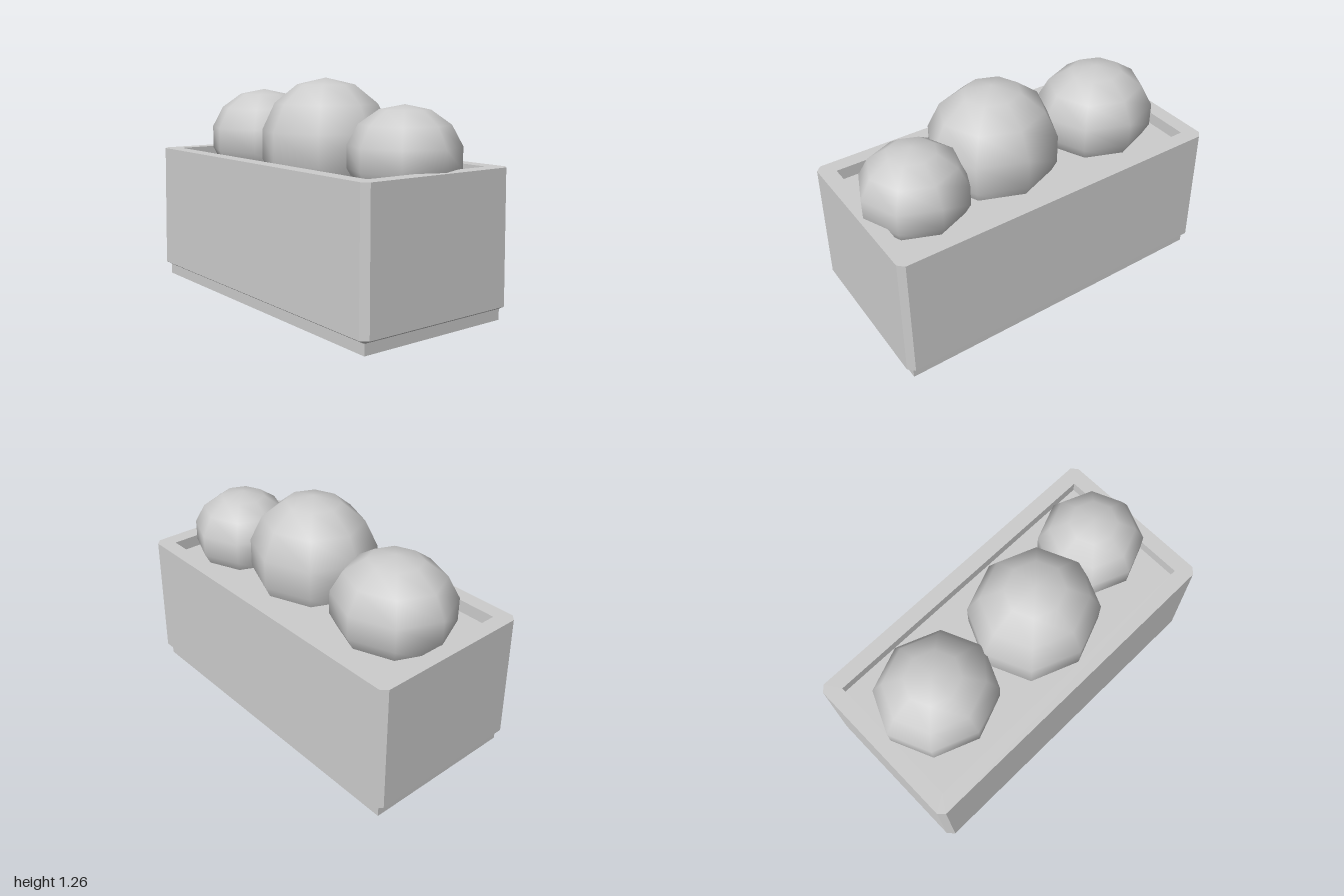
import * as THREE from 'three';

const grey = new THREE.MeshStandardMaterial({ color: 0xcccccc });
grey.name = 'lightGrey';

// Rectangle with cut corners at height y, counter-clockwise from above
function ring([y, x, z, c]) {
  return [
    [x, -(-z + c)], [x, -(z - c)], [x - c, -z], [-x + c, -z],
    [-x, -z + c], [-x, z - c], [-x + c, z], [x - c, z],
  ].map(([px, pz]) => new THREE.Vector3(px, y, pz));
}

// Flat-faced skin through a list of rings
function loft(sections) {
  const rings = sections.map(ring);
  const points = [];
  for (let s = 0; s < rings.length - 1; s++) {
    const a = rings[s], b = rings[s + 1];
    for (let i = 0; i < 8; i++) {
      const j = (i + 1) % 8;
      points.push(a[i], a[j], b[j], a[i], b[j], b[i]);
    }
  }
  const geometry = new THREE.BufferGeometry().setFromPoints(points);
  geometry.computeVertexNormals();
  return geometry;
}

export function createModel() {
  const model = new THREE.Group();
  model.name = 'planter';
  const add = (name, geometry, x = 0, y = 0, z = 0) => {
    const mesh = new THREE.Mesh(geometry, grey);
    mesh.name = name;
    mesh.position.set(x, y, z);
    model.add(mesh);
  };

  // Recessed plinth
  add('plinth', new THREE.BoxGeometry(1.93, 0.06, 0.92), 0, 0.03, 0);

  // Box wall: lower lip, tapered sides, rim and inner wall [y, half x, half z, corner cut]
  add('boxWall', loft([
    [0.06, 0.965, 0.46, 0.005],
    [0.08, 1, 0.493, 0.035],
    [0.81, 0.99, 0.485, 0.033],
    [0.81, 0.9, 0.397, 0.001],
    [0.73, 0.9, 0.397, 0.001],
  ]));

  // Soil surface
  add('soil', new THREE.PlaneGeometry(1.8, 0.794).rotateX(-Math.PI / 2), 0, 0.74, 0);

  // Rounded shrubs: centre and radii
  const shrubs = [
    ['rightShrub', [-0.562, 0.88, 0], [0.352, 0.3, 0.33]],
    ['middleShrub', [0.12, 0.885, 0.04], [0.382, 0.373, 0.358]],
    ['leftShrub', [0.662, 0.86, -0.05], [0.308, 0.27, 0.3]],
  ];
  for (const [name, centre, radii] of shrubs) {
    add(name, new THREE.SphereGeometry(1, 8, 7).scale(...radii), ...centre);
  }
  return model;
}
